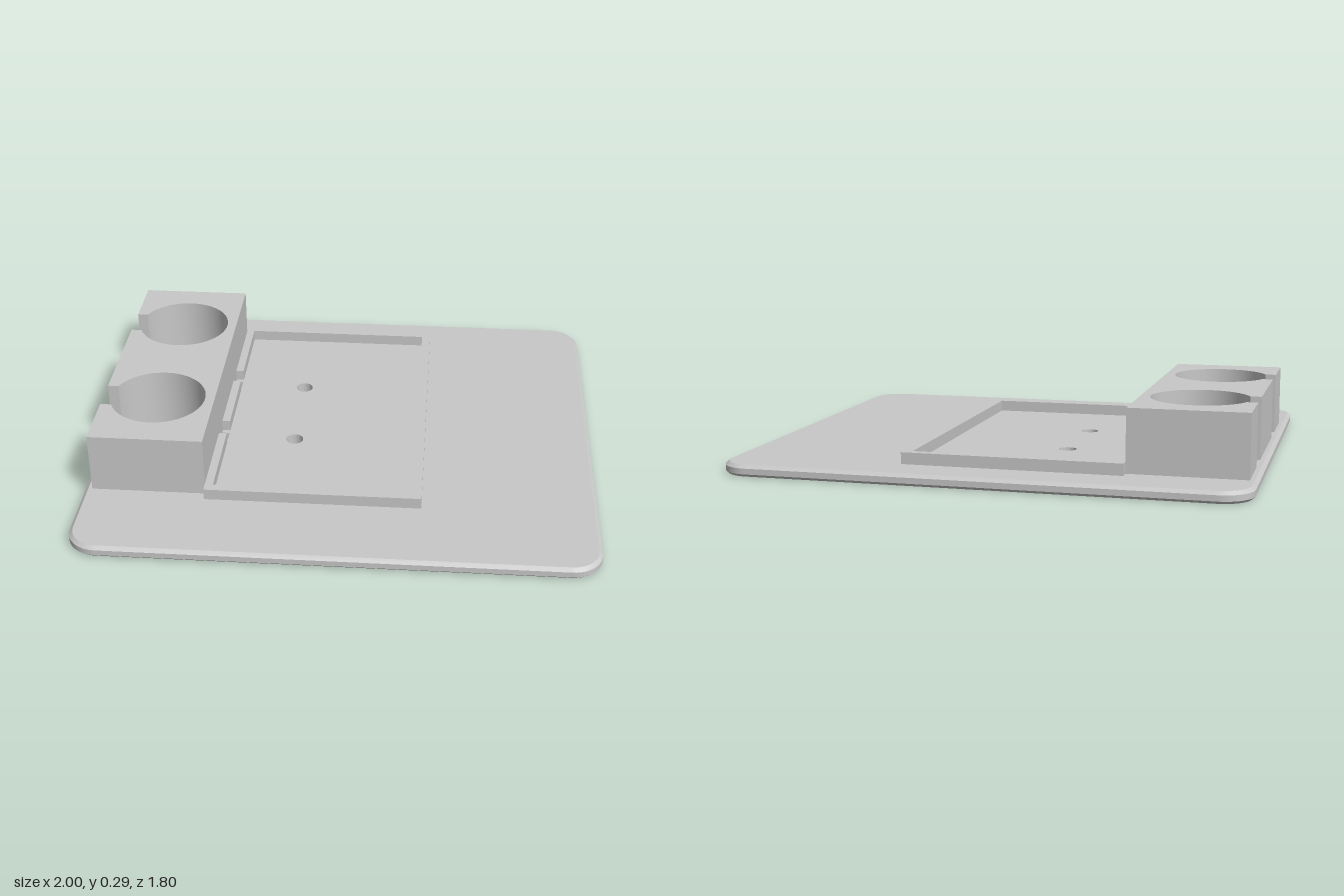
import * as THREE from 'three';
import { toCreasedNormals, mergeGeometries } from 'three/addons/utils/BufferGeometryUtils.js';

const TOP = 0.045;          // top of the base plate
const GROOVE = 0.025;       // depth of the grooves underneath
const WALL_X = [-0.522, -0.49];
const HOLE_X = -0.215, HOLE_R = 0.035, SLOT = 0.025;
const HOLES_V = [0.29, -0.12];

// Everything is drawn in plan (x, v) with height along z, then laid flat.
const V = (x, y) => new THREE.Vector2(x, y);
const rect = (x0, y0, x1, y1) => [V(x0, y0), V(x1, y0), V(x1, y1), V(x0, y1)];

function arc(cx, cy, r, a0, a1, n) {
  return Array.from({ length: n + 1 }, (_, i) => {
    const a = a0 + (a1 - a0) * i / n;
    return V(cx + r * Math.cos(a), cy + r * Math.sin(a));
  });
}

function roundedRect(hx, hy, r) {
  return [[1, 1], [-1, 1], [-1, -1], [1, -1]].flatMap(([sx, sy], i) =>
    arc(sx * (hx - r), sy * (hy - r), r, i * Math.PI / 2, (i + 1) * Math.PI / 2, 12));
}

// Skin through closed outlines, each given as [points, height]
function loft(rings) {
  const pos = [];
  for (let k = 0; k < rings.length - 1; k++) {
    const [a, za] = rings[k], [b, zb] = rings[k + 1];
    for (let i = 0; i < a.length; i++) {
      const j = (i + 1) % a.length;
      pos.push(a[i].x, a[i].y, za, a[j].x, a[j].y, za, b[j].x, b[j].y, zb);
      pos.push(a[i].x, a[i].y, za, b[j].x, b[j].y, zb, b[i].x, b[i].y, zb);
    }
  }
  const g = new THREE.BufferGeometry();
  g.setAttribute('position', new THREE.Float32BufferAttribute(pos, 3));
  g.computeVertexNormals();
  return toCreasedNormals(g, 0.6);
}

// Flat face with openings, facing up or down
function face(outline, holes, z, down = false) {
  const s = new THREE.Shape(outline);
  s.holes = holes.map(h => new THREE.Path(h));
  const g = new THREE.ShapeGeometry(s).toNonIndexed();
  g.deleteAttribute('uv');
  if (down) {
    const p = g.attributes.position;
    for (let i = 0; i < p.count; i += 3) {
      const x = p.getX(i), y = p.getY(i);
      p.setXY(i, p.getX(i + 1), p.getY(i + 1));
      p.setXY(i + 1, x, y);
    }
    g.computeVertexNormals();
  }
  return g.translate(0, 0, z);
}

function extrude(points, z0, z1) {
  const g = new THREE.ExtrudeGeometry(new THREE.Shape(points), { depth: z1 - z0, bevelEnabled: false });
  return toCreasedNormals(g.translate(0, 0, z0), 0.5);
}

function plateGeometry() {
  // Chamfered rim, as inset and height
  const rim = [[0.01, 0], [0, 0.01], [0, 0.032], [0.014, TOP]];
  const rings = rim.map(([d, z]) => [roundedRect(1 - d, 0.9 - d, 0.12 - d), z]);
  const parts = [loft(rings)];
  const topHoles = [], bottomHoles = [];
  const a = Math.asin(SLOT / HOLE_R);
  for (const v of HOLES_V) {
    const hole = arc(HOLE_X, v, HOLE_R, 0, Math.PI * 2, 32).slice(0, -1);
    const slot = rect(WALL_X[0], v - SLOT, WALL_X[1], v + SLOT);
    // Keyhole groove joining the slot to the round hole
    const groove = [V(WALL_X[0], v + SLOT), V(WALL_X[0], v - SLOT),
      ...arc(HOLE_X, v, HOLE_R, a - Math.PI, Math.PI - a, 28)];
    const ceiling = [V(WALL_X[1], v + SLOT), V(WALL_X[1], v - SLOT),
      ...arc(HOLE_X, v, HOLE_R, Math.PI + a, Math.PI - a, 8)];
    topHoles.push(hole, slot);
    bottomHoles.push(groove);
    const inner = (pts, z0, z1) => {
      const back = [...pts].reverse();
      return loft([[back, z0], [back, z1]]);
    };
    parts.push(inner(groove, 0, GROOVE), inner(hole, GROOVE, TOP), inner(slot, GROOVE, TOP),
      face(ceiling, [], GROOVE, true));
  }
  parts.push(face(rings.at(-1)[0], topHoles, TOP), face(rings[0][0], bottomHoles, 0, true));
  return mergeGeometries(parts);
}

function holderGeometry() {
  const r = 0.19, half = 0.07, left = -0.97, b = Math.PI - Math.asin(half / r);
  const pts = [V(WALL_X[0], -0.53), V(WALL_X[0], 0.693), V(left, 0.693)];
  // Round wells, each open to the side through a narrow slit
  for (const v of [0.39, -0.22]) {
    pts.push(V(left, v + half), ...arc(-0.75, v, r, b, -b, 56), V(left, v - half));
  }
  pts.push(V(left, -0.53));
  return extrude(pts, TOP, 0.287);
}

export function createModel() {
  const grey = new THREE.MeshStandardMaterial({ color: 0xc8c8c8 });
  grey.name = 'lightGrey';
  const model = new THREE.Group();
  model.name = 'deskTray';
  model.rotation.x = -Math.PI / 2;
  const add = (name, geometry) => {
    const mesh = new THREE.Mesh(geometry, grey);
    mesh.name = name;
    model.add(mesh);
  };

  add('basePlate', plateGeometry());
  add('holderBlock', holderGeometry());

  // Low tray rim with two gaps beside the holder
  const [o, i] = WALL_X;
  add('trayRim', extrude([
    V(o, -0.567), V(0.322, -0.567), V(0.322, 0.732), V(o, 0.732), V(o, 0.335), V(i, 0.335),
    V(i, 0.7), V(0.286, 0.7), V(0.286, -0.53), V(i, -0.53), V(i, -0.165), V(o, -0.165),
  ], TOP, 0.09));
  add('trayRimMiddle', extrude(rect(o, -0.075, i, 0.25), TOP, 0.09));

  const root = new THREE.Group();
  root.name = 'model';
  root.add(model);
  return root;
}
